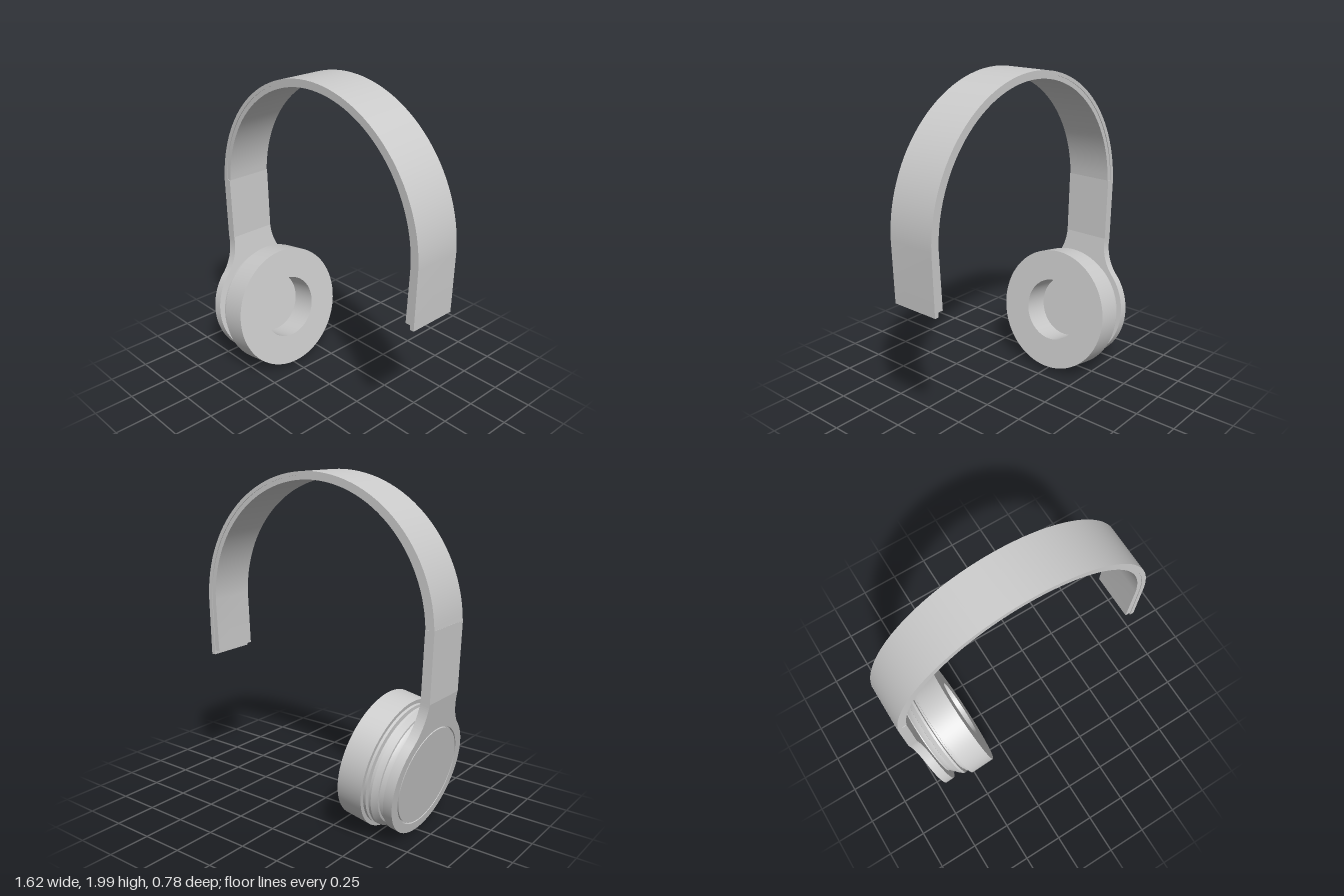
import * as THREE from 'three';
import { toCreasedNormals } from 'three/addons/utils/BufferGeometryUtils.js';

const material = new THREE.MeshStandardMaterial({ color: 0xcccccc, side: THREE.DoubleSide });
const ARC_Y = 1.19;      // centre height of the headband arch
const SPLIT_Y = 1.23;    // where the arch meets the arm
const TILT = THREE.MathUtils.degToRad(10);

function addMesh(parent, name, geometry) {
  const mesh = new THREE.Mesh(toCreasedNormals(geometry, 0.5), material);
  mesh.name = name;
  parent.add(mesh);
  return mesh;
}

// Extrudes a shape symmetrically about its own plane
function slab(shape, depth) {
  return new THREE.ExtrudeGeometry(shape, { depth, bevelEnabled: false, curveSegments: 48 })
    .translate(0, 0, -depth / 2);
}

// Elliptical arch from the arm joint over the top and down to a straight leg end
function archLine(rx, ry, endX, endY) {
  const start = Math.PI - Math.asin((SPLIT_Y - ARC_Y) / ry);
  const points = [];
  for (let i = 0; i <= 56; i++) {
    const a = start * (1 - i / 56);
    points.push(new THREE.Vector2(rx * Math.cos(a), ARC_Y + ry * Math.sin(a)));
  }
  points.push(new THREE.Vector2(endX, endY));
  return points;
}

function bandLayer(outer, inner, width) {
  return slab(new THREE.Shape([...archLine(...outer), ...archLine(...inner).reverse()]), width);
}

// Surface of revolution about the local x axis; points are [radius, distance]
function turned(points) {
  return new THREE.LatheGeometry(points.map(([r, t]) => new THREE.Vector2(r, t)), 72)
    .rotateZ(-Math.PI / 2);
}

// Round plate blending through concave fillets into the arm
function plateShape() {
  const R = 0.35, half = 0.15, filletY = 0.47, top = 0.482;
  const fillet = (half * half + filletY * filletY - R * R) / (2 * (R - half));
  const a = Math.atan2(filletY, half + fillet);
  const shape = new THREE.Shape();
  shape.moveTo(-half, top);
  shape.lineTo(-half, filletY);
  shape.absarc(-half - fillet, filletY, fillet, 0, -a, true);
  shape.absarc(0, 0, R, Math.PI - a, 2 * Math.PI + a, false);
  shape.absarc(half + fillet, filletY, fillet, Math.PI + a, Math.PI, true);
  shape.lineTo(half, top);
  shape.closePath();
  const hole = new THREE.Path();
  hole.absarc(0, 0, 0.295, 0, Math.PI * 2, true);
  shape.holes.push(hole);
  return shape;
}

export function createModel() {
  const model = new THREE.Group();
  model.name = 'headphones';

  // Headband: outer shell and slightly narrower inner lining
  const headband = new THREE.Group();
  headband.name = 'headband';
  model.add(headband);
  addMesh(headband, 'outerBand',
    bandLayer([0.812, 0.81, 0.803, 0.83], [0.785, 0.79, 0.777, 0.83], 0.3));
  addMesh(headband, 'innerBand',
    bandLayer([0.785, 0.79, 0.777, 0.855], [0.757, 0.764, 0.742, 0.855], 0.292));

  // Straight arm between the arch and the ear cup
  const arm = new THREE.Shape([[-0.812, SPLIT_Y], [-0.8, 0.83], [-0.744, 0.84], [-0.757, SPLIT_Y]]
    .map(([x, y]) => new THREE.Vector2(x, y)));
  addMesh(headband, 'arm', slab(arm, 0.3));

  // Ear cup, tilted with its axis along local x
  const earCup = new THREE.Group();
  earCup.name = 'earCup';
  earCup.position.set(-0.716, 0.357, 0);
  earCup.rotation.z = TILT;
  model.add(earCup);

  addMesh(earCup, 'backPlate', slab(plateShape(), 0.056).rotateY(Math.PI / 2).translate(0.028, 0, 0));
  addMesh(earCup, 'outerCap', turned([[0, 0.03], [0.287, 0.03], [0.287, 0], [0, 0]].reverse()));

  // Stepped housing with a groove below the cushion
  addMesh(earCup, 'housing', turned([
    [0, 0.015], [0.294, 0.015], [0.294, 0.062], [0.312, 0.078], [0.325, 0.098], [0.336, 0.1],
    [0.362, 0.128], [0.363, 0.142], [0.34, 0.145], [0.34, 0.156], [0.365, 0.16], [0.365, 0.18],
  ]));

  // Cushion with a recessed centre
  addMesh(earCup, 'cushion', turned([
    [0.34, 0.176], [0.388, 0.176], [0.388, 0.333], [0.197, 0.333], [0.197, 0.165], [0, 0.165],
  ]));

  return model;
}
